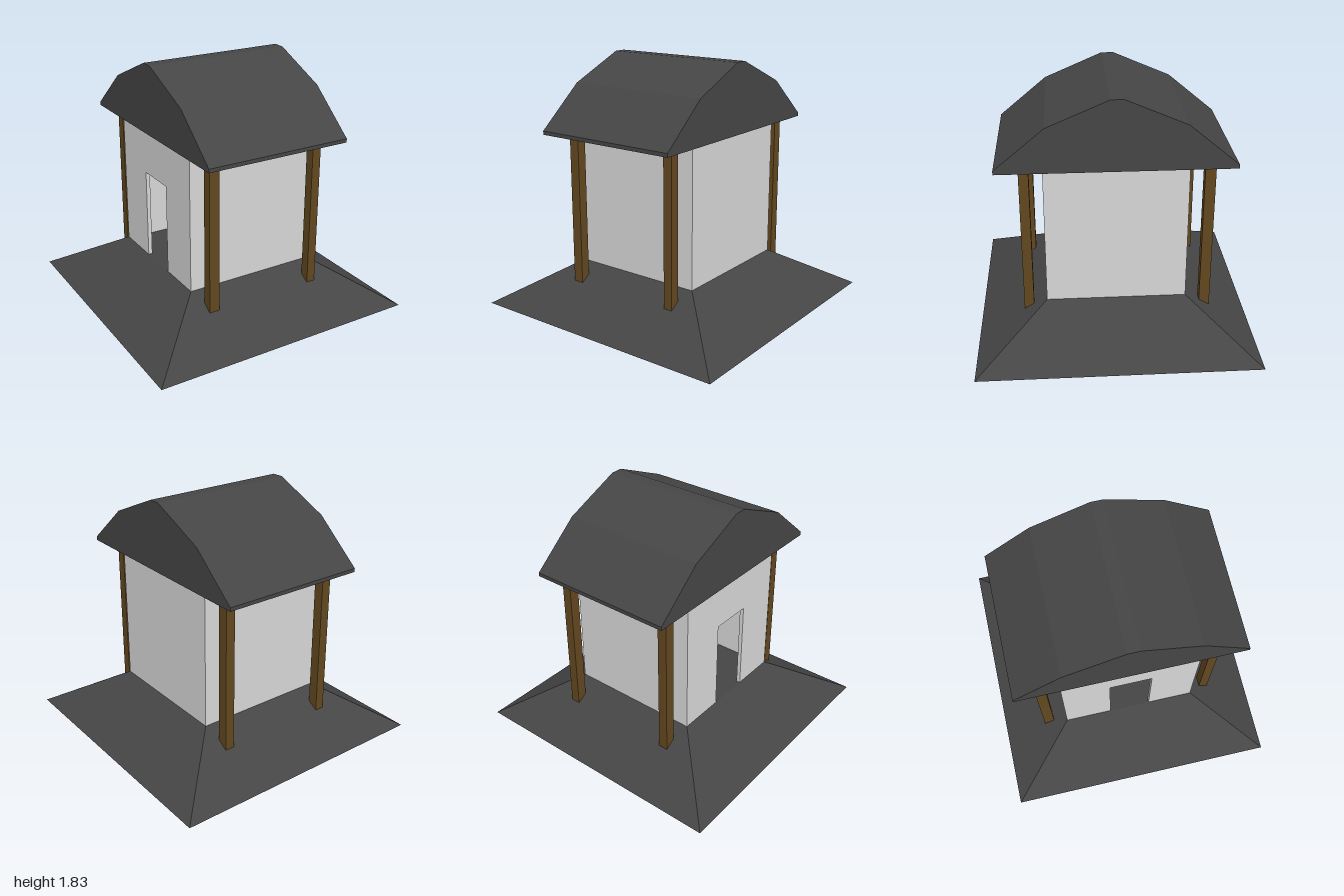
import * as THREE from 'three';

const flat = (name, color) => {
  const m = new THREE.MeshStandardMaterial({ color });
  m.name = name;
  return m;
};

// Extrudes a (z, y) outline along x, from x0 to x0 + length
function extrudeAlongX(points, x0, length) {
  const shape = new THREE.Shape(points.map(([z, y]) => new THREE.Vector2(z, y)));
  const geo = new THREE.ExtrudeGeometry(shape, { depth: length, bevelEnabled: false });
  geo.rotateY(-Math.PI / 2);
  geo.translate(x0 + length, 0, 0);
  return geo;
}

export function createModel() {
  const group = new THREE.Group();
  const slate = flat('dark slate', 0x454545);
  const plaster = flat('pale plaster', 0xd6d6d6);
  const wood = flat('brown wood', 0x62471f);

  const add = (name, geo, mat, x = 0, y = 0, z = 0) => {
    const mesh = new THREE.Mesh(geo, mat);
    mesh.name = name;
    mesh.position.set(x, y, z);
    group.add(mesh);
  };

  const floorY = 0.315, eaveY = 1.325, wallT = 0.03;
  const wallH = eaveY - floorY, wallMid = (eaveY + floorY) / 2;

  // Sloped square base with a pale underside
  const base = new THREE.CylinderGeometry(Math.SQRT1_2, Math.SQRT2, floorY, 4).toNonIndexed();
  base.rotateY(Math.PI / 4);
  base.computeVertexNormals();
  add('base', base, [slate, slate, plaster], 0, floorY / 2, 0);

  // Front, back and left walls
  for (const [name, s] of [['frontWall', 1], ['backWall', -1]]) {
    add(name, new THREE.BoxGeometry(1, wallH, wallT), plaster, 0, wallMid, s * (0.5 - wallT / 2));
  }
  add('leftWall', new THREE.BoxGeometry(wallT, wallH, 1 - 2 * wallT), plaster, 0.5 - wallT / 2, wallMid, 0);

  // Right wall with an open doorway
  const e = 0.5 - wallT, doorTop = 0.985;
  add('doorWall', extrudeAlongX([
    [-e, floorY], [-0.15, floorY], [-0.15, doorTop], [0.16, doorTop],
    [0.16, floorY], [e, floorY], [e, eaveY], [-e, eaveY],
  ], -0.5, wallT), plaster);

  // Corner posts: x, z, width, depth
  const posts = {
    frontRightPost: [-0.407, 0.63, 0.076, 0.07],
    frontLeftPost: [0.418, 0.63, 0.066, 0.07],
    backRightPost: [-0.425, -0.64, 0.07, 0.076],
    backLeftPost: [0.43, -0.647, 0.07, 0.076],
  };
  const postBottom = 0.2, postH = eaveY + 0.005 - postBottom;
  for (const [name, [x, z, w, d]] of Object.entries(posts)) {
    add(name, new THREE.BoxGeometry(w, postH, d), wood, x, postBottom + postH / 2, z);
  }

  // Solid roof with a broken slope and narrow flat ridge
  const half = [[0.825, eaveY], [0.825, 1.352], [0.475, 1.645], [0.045, 1.83]];
  const mirrored = half.map(([z, y]) => [-z, y]).reverse();
  add('roof', extrudeAlongX([...half, ...mirrored], -0.543, 1.086), slate);

  return group;
}
